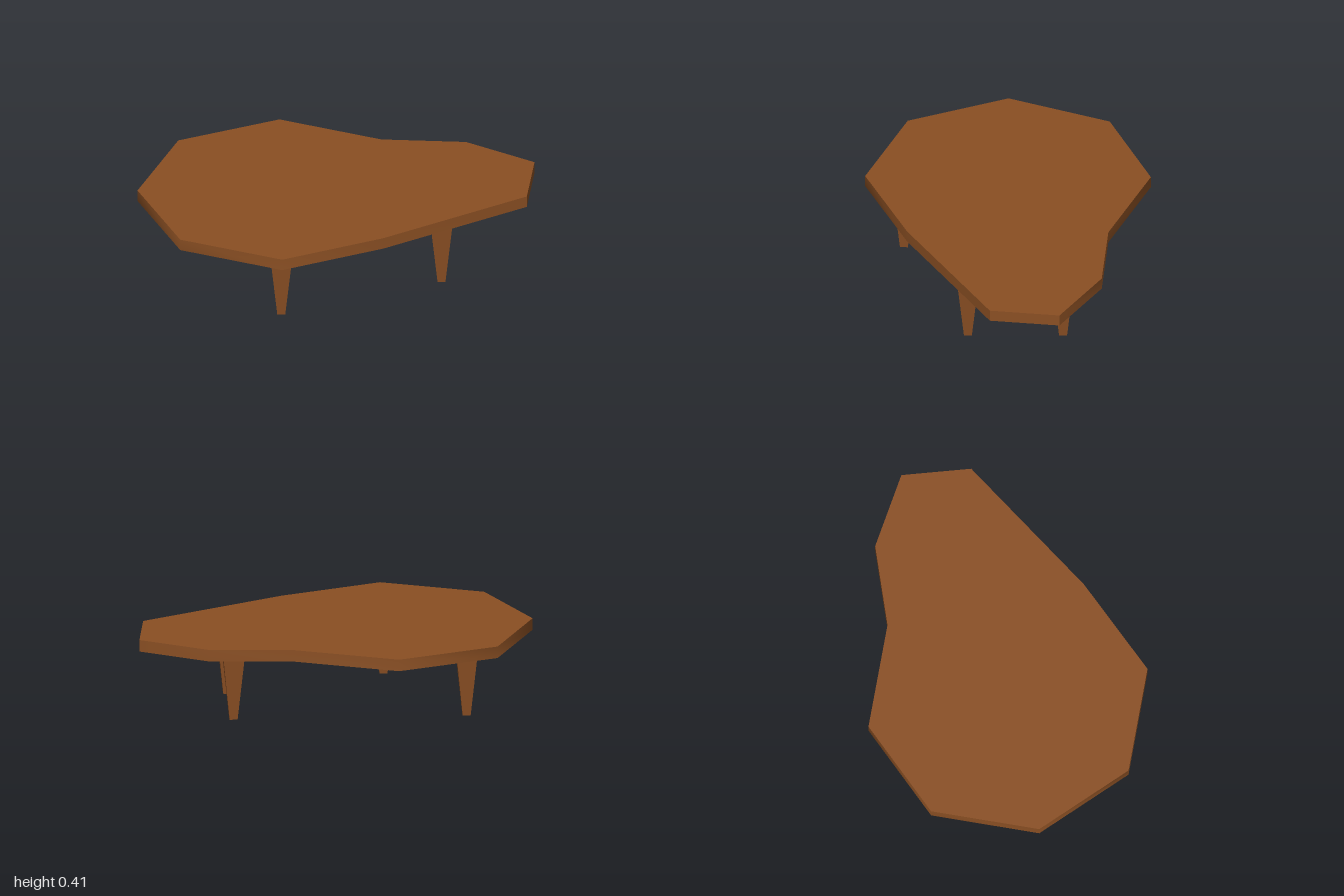
import * as THREE from 'three';
import { toCreasedNormals } from 'three/addons/utils/BufferGeometryUtils.js';

export function createModel() {
  const group = new THREE.Group();
  group.name = 'coffeeTable';
  const wood = new THREE.MeshStandardMaterial({ color: 0x8a4f23 });
  wood.name = 'brown wood';

  const underside = 0.355, thickness = 0.06;

  // Table top: faceted free-form outline as [x, z], softly shaded round the rim
  const outline = [
    [-1, 0], [-0.79, 0.505], [-0.28, 0.715], [0.23, 0.5], [0.955, 0.08],
    [0.997, -0.27], [0.655, -0.48], [0.23, -0.51], [-0.28, -0.72], [-0.79, -0.51],
  ];
  const shape = new THREE.Shape(outline.map(([x, z]) => new THREE.Vector2(x, -z)));
  const slab = new THREE.ExtrudeGeometry(shape, { depth: thickness, bevelEnabled: false });
  slab.rotateX(-Math.PI / 2);
  slab.translate(0, underside, 0);
  const top = new THREE.Mesh(toCreasedNormals(slab, 0.85), wood);
  top.name = 'tableTop';
  group.add(top);

  // Tapered square legs
  const halfTop = 0.056, halfBottom = 0.02;
  const legGeometry = new THREE.CylinderGeometry(
    halfTop * Math.SQRT2, halfBottom * Math.SQRT2, underside, 4, 1, false, Math.PI / 4);
  const legShape = toCreasedNormals(legGeometry, 0.5);
  const legs = {
    frontLeg: [-0.283, 0.52],
    rightLeg: [-0.648, -0.285],
    leftFrontLeg: [0.525, 0.193],
    leftBackLeg: [0.525, -0.285],
  };
  for (const [name, [x, z]] of Object.entries(legs)) {
    const leg = new THREE.Mesh(legShape, wood);
    leg.name = name;
    leg.position.set(x, underside / 2, z);
    group.add(leg);
  }
  return group;
}
